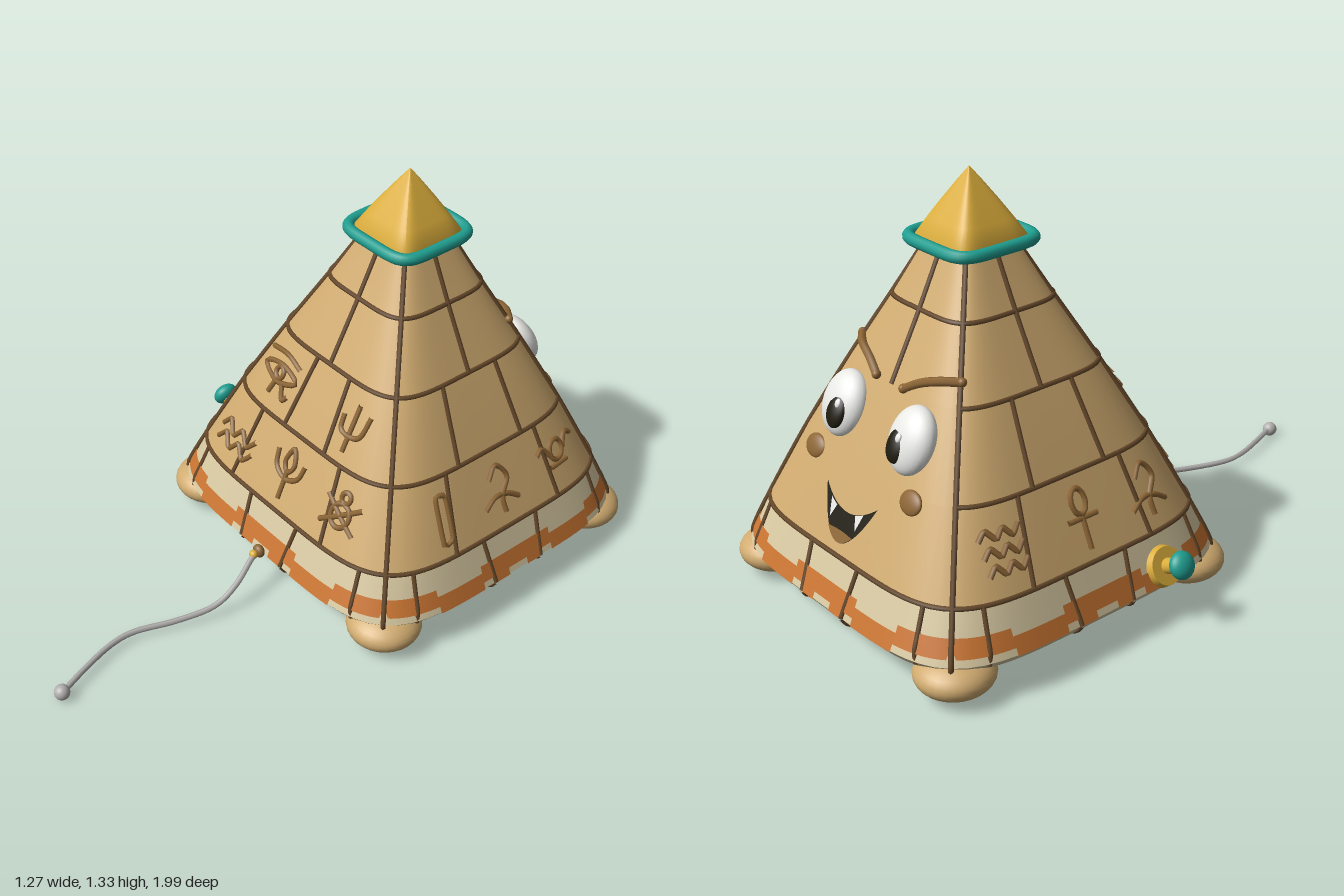
import * as THREE from 'three';

const CX = 0.04, CZ = -0.4, N = 4.6;
const FRONT = 0, RIGHT = Math.PI / 2, BACK = Math.PI, LEFT = -Math.PI / 2;

const mat = (name, color) => Object.assign(new THREE.MeshStandardMaterial({ color }), { name });
const M = {
  stone: mat('sandstone', 0xd0ab70), cream: mat('cream', 0xd8c9a2), orange: mat('orange', 0xca7532),
  groove: mat('dark brown', 0x65482a), glyph: mat('brown', 0x8c6535), gold: mat('gold', 0xdcae3c),
  teal: mat('teal', 0x1f9e90), silver: mat('silver', 0xb2b0ae), white: mat('white', 0xebebe8), black: mat('black', 0x1f1c10),
};

// Half width of the body at each height
const PROFILE = [[0.09, 0.53], [0.105, 0.57], [0.13, 0.588], [0.275, 0.53], [0.515, 0.42], [0.745, 0.302], [0.945, 0.193], [1.12, 0.105]];
function halfWidth(y) {
  let i = 0;
  while (i < PROFILE.length - 2 && y > PROFILE[i + 1][0]) i++;
  const [a, b] = [PROFILE[i], PROFILE[i + 1]];
  return a[1] + (b[1] - a[1]) * (y - a[0]) / (b[0] - a[0]);
}

// Rounded-square radius in polar form
const polar = (phi, n = N) => Math.pow(Math.abs(Math.sin(phi)) ** n + Math.abs(Math.cos(phi)) ** n, -1 / n);
function ringPoint(phi, y, R = halfWidth(y), off = 0, n = N) {
  const r = R * polar(phi, n) + off;
  return new THREE.Vector3(CX + r * Math.sin(phi), y, CZ + r * Math.cos(phi));
}

// Point on one of the four sides: u across, y up, off outward
function onSide(a, u, y, off = 0) {
  const R = halfWidth(y);
  const d = R * Math.pow(Math.max(0, 1 - Math.abs(u / R) ** N), 1 / N) + off;
  return new THREE.Vector3(CX + u * Math.cos(a) + d * Math.sin(a), y, CZ - u * Math.sin(a) + d * Math.cos(a));
}

function gridGeometry(rows, cols, point) {
  const pos = [], idx = [];
  for (let j = 0; j <= rows; j++) for (let i = 0; i <= cols; i++) pos.push(...point(i / cols, j / rows, j).toArray());
  for (let j = 0; j < rows; j++) for (let i = 0; i < cols; i++) {
    const k = j * (cols + 1) + i, m = k + cols + 1;
    idx.push(k, k + 1, m + 1, k, m + 1, m);
  }
  const g = new THREE.BufferGeometry();
  g.setAttribute('position', new THREE.Float32BufferAttribute(pos, 3));
  g.setIndex(idx);
  g.computeVertexNormals();
  return g;
}

// Rounded-square loft through [y, half width] pairs
const loft = (profile, n = N) => gridGeometry(profile.length - 1, 96,
  (s, t, j) => ringPoint(s * Math.PI * 2 + Math.PI / 4, profile[j][0], profile[j][1], 0, n));

// Thin painted patch hugging a side, between two height curves
const patch = (a, u0, u1, lo, hi, off) => gridGeometry(4, 16, (s, t) => {
  const u = u0 + (u1 - u0) * s;
  return onSide(a, u, lo(u) + (hi(u) - lo(u)) * t, off);
});

export function createModel() {
  const root = new THREE.Group();
  const add = (name, geo, material, parent = root) => {
    const m = new THREE.Mesh(geo, material);
    m.name = name;
    parent.add(m);
    return m;
  };
  const tube = (name, pts, r, material, closed = false, seg = pts.length * 6, tension = 0.5) =>
    add(name, new THREE.TubeGeometry(new THREE.CatmullRomCurve3(pts, closed, 'catmullrom', tension), seg, r, 6, closed), material);
  const ball = (name, material, p, s, parent = root) => {
    const m = add(name, new THREE.SphereGeometry(1, 28, 18), material, parent);
    m.position.set(...p);
    m.scale.set(...s);
    return m;
  };

  // Body, base band, underside, cap and collar
  add('stoneBody', loft(PROFILE.slice(3)), M.stone);
  add('baseBand', loft([[0.13, 0.588], [0.2, 0.56], [0.275, 0.53]]), M.cream);
  add('underside', loft([[0.068, 0.0001], [0.071, 0.3], [0.09, 0.53], [0.105, 0.57], [0.13, 0.588]]), M.cream);
  add('goldCap', loft([[1.1, 0.12], [1.125, 0.13], [1.18, 0.098], [1.235, 0.064], [1.29, 0.028], [1.33, 0.0005]], 6), M.gold);
  const collar = [];
  for (let i = 0; i < 48; i++) collar.push(ringPoint(i / 48 * Math.PI * 2, 1.12, 0.147, 0, 5));
  add('collar', new THREE.TubeGeometry(new THREE.CatmullRomCurve3(collar, true), 96, 0.019, 10, true), M.teal);

  // Feet
  for (const sx of [-1, 1]) for (const sz of [-1, 1])
    ball('foot', M.stone, [CX + sx * 0.453, 0.073, CZ + sz * 0.453], [0.12, 0.064, 0.12]);

  // Stepped orange pattern
  for (const a of [FRONT, RIGHT, BACK, LEFT]) {
    const block = (u0, u1, lo, hi) => add('orangeBlock', patch(a, u0, u1, () => lo, () => hi, 0.004), M.orange);
    block(-0.15, 0.15, 0.152, 0.205);
    for (const s of [-1, 1]) {
      const span = (p, q, lo, hi) => block(Math.min(s * p, s * q), Math.max(s * p, s * q), lo, hi);
      span(0.15, 0.33, 0.13, 0.183);
      span(0.33, 0.49, 0.152, 0.205);
      span(0.04, 0.1, 0.13, 0.152);
    }
  }

  // Course lines; two of them stop at the face
  for (const [y, full] of [[0.275, true], [0.515, false], [0.745, false], [0.945, true]]) {
    const span = full ? Math.PI * 2 : Math.PI * 1.5, pts = [];
    for (let i = 0; i < (full ? 64 : 65); i++) pts.push(ringPoint(-span / 2 + span * i / 64, y));
    tube('courseLine', pts, 0.008, M.groove, full, 128);
  }
  // Corner lines
  for (let k = 0; k < 4; k++)
    tube('cornerLine', PROFILE.map(([y, R]) => ringPoint(Math.PI / 4 + k * Math.PI / 2, Math.min(y, 1.11), R)), 0.009, M.groove);

  // Upright joints between blocks: [u top, y top, u bottom, y bottom]
  const joint = (a, u0, y0, u1, y1) => {
    const pts = [];
    for (let i = 0; i <= 4; i++) pts.push(onSide(a, u0 + (u1 - u0) * i / 4, y0 + (y1 - y0) * i / 4));
    tube('joint', pts, 0.008, M.groove, false, 12);
  };
  for (const a of [FRONT, RIGHT, BACK, LEFT]) {
    joint(a, 0, 1.1, 0, 0.745);
    for (const s of [-1, 1]) {
      joint(a, s * 0.115, 0.275, s * 0.1, 0.13);
      joint(a, s * 0.1, 0.13, s * 0.11, 0.09);
      joint(a, s * 0.385, 0.275, s * 0.41, 0.12);
      if (a === BACK) continue;
      joint(a, s * 0.19, 0.515, s * 0.225, 0.275);
      if (a === FRONT) joint(a, 0.02 + s * 0.075, 0.745, 0.015 + s * 0.097, 0.515);
      else joint(a, s * 0.11, 0.745, s * 0.135, 0.515);
    }
  }

  // Carved signs, drawn as strokes on each side
  const stroke = (a, pts, closed = false, tension = 0.5) =>
    tube('carvedSign', pts.map(([u, y]) => onSide(a, u, y, 0.003)), 0.009, M.glyph, closed, pts.length * 6, tension);
  const circle = (a, u, y, r, ry = r) => stroke(a, [0, 1, 2, 3, 4, 5, 6, 7].map(i =>
    [u + r * Math.cos(i * Math.PI / 4), y + ry * Math.sin(i * Math.PI / 4)]), true);
  const wave = (a, u, y, w, h) => stroke(a, [0, 1, 2, 3, 4, 5].map(i => [u + w * (i / 5 - 0.5), y + (i % 2 ? h : -h)]), false, 0.2);
  const bird = (a, u) => {
    stroke(a, [[u - 0.04, 0.43], [u, 0.465], [u + 0.035, 0.42], [u, 0.37], [u, 0.32]]);
    stroke(a, [[u - 0.08, 0.35], [u - 0.03, 0.375], [u + 0.02, 0.37], [u + 0.065, 0.345]]);
  };
  // front, upper row
  stroke(FRONT, [[-0.265, 0.676], [-0.175, 0.694], [-0.097, 0.676]]);
  stroke(FRONT, [[-0.265, 0.63], [-0.18, 0.66], [-0.097, 0.637], [-0.18, 0.608]], true);
  circle(FRONT, -0.18, 0.636, 0.018);
  stroke(FRONT, [[-0.185, 0.61], [-0.2, 0.567]]);
  stroke(FRONT, [[-0.155, 0.61], [-0.13, 0.572], [-0.11, 0.59]]);
  stroke(FRONT, [[0.175, 0.697], [0.175, 0.556]]);
  stroke(FRONT, [[0.13, 0.655], [0.138, 0.612], [0.175, 0.603], [0.215, 0.617], [0.225, 0.68]]);
  // front, lower row
  wave(FRONT, -0.26, 0.395, 0.19, 0.018);
  wave(FRONT, -0.26, 0.352, 0.19, 0.018);
  stroke(FRONT, [[0, 0.31], [0, 0.41]]);
  stroke(FRONT, [[0, 0.4], [-0.022, 0.43], [0, 0.475], [0.022, 0.43]], true);
  stroke(FRONT, [[-0.065, 0.45], [-0.05, 0.4], [0, 0.378], [0.05, 0.4], [0.065, 0.45]]);
  circle(FRONT, 0.256, 0.39, 0.036);
  circle(FRONT, 0.256, 0.445, 0.017);
  for (const s of [-1, 1]) stroke(FRONT, [[0.256 - 0.068, 0.39 + s * 0.043], [0.256, 0.39], [0.256 + 0.068, 0.39 - s * 0.043]]);
  // right side
  stroke(RIGHT, [[-0.262, 0.32], [-0.25, 0.46], [-0.215, 0.455], [-0.225, 0.33]], true, 0.2);
  bird(RIGHT, 0);
  circle(RIGHT, 0.26, 0.41, 0.03);
  for (const s of [-1, 1]) stroke(RIGHT, [[0.26 + s * 0.09, 0.42], [0.26 + s * 0.06, 0.435], [0.26 + s * 0.03, 0.4]]);
  stroke(RIGHT, [[0.22, 0.365], [0.3, 0.365]]);
  // left side
  for (const y of [0.35, 0.395, 0.44]) wave(LEFT, -0.28, y, 0.13, 0.013);
  circle(LEFT, 0, 0.44, 0.025, 0.035);
  stroke(LEFT, [[0, 0.405], [0, 0.31]]);
  stroke(LEFT, [[-0.055, 0.395], [0.055, 0.395]]);
  bird(LEFT, 0.26);

  // Face on the back side
  const faceSpot = (name, u, y, off = 0) => {
    const g = new THREE.Group();
    g.name = name;
    g.position.copy(onSide(BACK, u, y, off));
    g.rotation.set(-0.45, BACK, 0, 'YXZ');
    root.add(g);
    return g;
  };
  for (const s of [-1, 1]) {
    const eye = faceSpot('eye', s * 0.164, 0.645, 0.004);
    ball('eyeWhite', M.white, [0, 0, 0], [0.086, 0.102, 0.05], eye);
    ball('pupil', M.black, [-s * 0.016, -0.024, 0.033], [0.04, 0.054, 0.022], eye);
    ball('eyeGlint', M.white, [-s * 0.016 + 0.014, 0, 0.051], [0.011, 0.014, 0.006], eye);
    ball('cheek', M.glyph, [0, 0, 0], [0.046, 0.036, 0.014], faceSpot('cheekSpot', s * 0.235, 0.5));
    const brow = [[0.065, 0.755], [0.12, 0.785], [0.18, 0.805], [0.238, 0.81]].map(([u, y]) => onSide(BACK, s * u, y, 0.012));
    tube('eyebrow', brow, 0.014, M.glyph);
    for (const p of [brow[0], brow[3]]) ball('eyebrowEnd', M.glyph, p.toArray(), [0.014, 0.014, 0.014]);
  }
  // Mouth, tongue and fangs
  const lipTop = u => 0.395 + 0.05 * (u / 0.125) ** 2;
  const lipBottom = u => 0.31 + 0.135 * (u / 0.125) ** 2;
  add('mouth', patch(BACK, -0.125, 0.125, lipBottom, lipTop, 0.006), M.black);
  add('tongue', patch(BACK, -0.06, 0.06, u => lipBottom(u) + 0.002, u => 0.345 - 1.1 * u * u, 0.009), M.glyph);
  for (const s of [-1, 1])
    add('fang', patch(BACK, s * 0.062 - 0.017, s * 0.062 + 0.017, u => lipTop(u) - 0.045 * (1 - Math.abs(u - s * 0.062) / 0.017), lipTop, 0.01), M.white);

  // Cable with plug socket and end ball
  const path = [[0.04, 0.13, 0.17], [0.045, 0.128, 0.22], [0.08, 0.085, 0.32], [0.08, 0.045, 0.41], [0.045, 0.03, 0.53],
    [0, 0.029, 0.66], [0, 0.029, 0.75], [0.03, 0.029, 0.86], [0.067, 0.027, 0.965]].map(p => new THREE.Vector3(...p));
  tube('cable', path, 0.0095, M.silver, false, 80);
  ball('cableEnd', M.silver, [0.068, 0.026, 0.975], [0.025, 0.025, 0.025]);
  ball('socket', M.glyph, [0.04, 0.131, 0.195], [0.023, 0.023, 0.017]);
  ball('socketTip', M.gold, [0.042, 0.13, 0.218], [0.015, 0.015, 0.014]);

  // Side knob: gold flange, shaft and teal button
  const knob = new THREE.Group();
  knob.name = 'sideKnob';
  knob.position.set(-0.535, 0.183, -0.163);
  knob.rotation.z = 1.13;
  root.add(knob);
  add('knobFlange', new THREE.CylinderGeometry(0.058, 0.065, 0.03, 32), M.gold, knob);
  add('knobShaft', new THREE.CylinderGeometry(0.024, 0.024, 0.1, 20), M.gold, knob).position.y = 0.03;
  ball('knobButton', M.teal, [0, 0.08, 0], [0.043, 0.029, 0.043], knob);

  return root;
}
